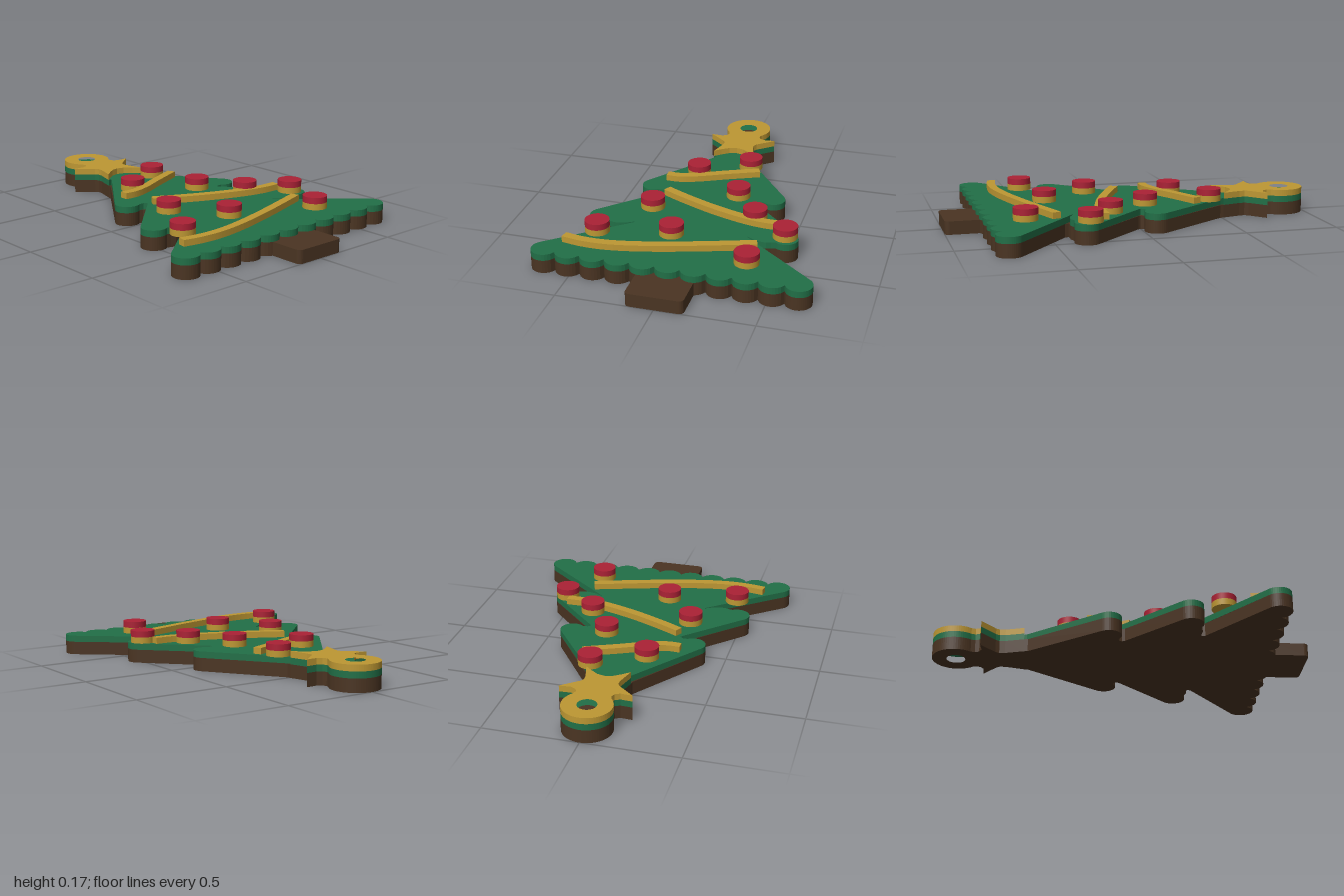
import * as THREE from 'three';

const mat = (name, color) => Object.assign(new THREE.MeshStandardMaterial({ color }), { name });

// Points are [x, z]; a runs from +x towards +z, in degrees
function arc(cx, cz, r, a0, a1, n = 16) {
  return Array.from({ length: n + 1 }, (_, i) => {
    const a = THREE.MathUtils.degToRad(a0 + ((a1 - a0) * i) / n);
    return [cx + r * Math.cos(a), cz + r * Math.sin(a)];
  });
}

// Closed shape from its right half, mirrored to the left
const mirrored = (half) => {
  const left = half.filter(([x]) => x > 0.001).reverse().map(([x, z]) => [-x, z]);
  return toShape([...half, ...left]);
};
const toShape = (pts) => new THREE.Shape(pts.map(([x, z]) => new THREE.Vector2(x, -z)));

function plate(name, shape, y0, y1, material) {
  const geo = new THREE.ExtrudeGeometry(shape, { depth: y1 - y0, bevelEnabled: false, curveSegments: 32 });
  geo.rotateX(-Math.PI / 2).translate(0, y0, 0);
  const mesh = new THREE.Mesh(geo, material);
  mesh.name = name;
  return mesh;
}

// Layer heights
const Y = [0, 0.07, 0.104, 0.137, 0.17];

// Hanging ring and star, right half
const starHalf = [
  ...arc(0, -0.872, 0.128, -90, 40, 24),
  [0.091, -0.768], [0.1, -0.745], [0.125, -0.731], [0.188, -0.735],
  [0.1, -0.66], [0.088, -0.64], [0.09, -0.61], [0.117, -0.51],
];

// Whole silhouette; the base fills the notches and adds the trunk
function treeHalf(isBase) {
  const pts = [
    ...starHalf,
    ...(isBase ? [[0.12, -0.49]] : [[0.097, -0.515], [0.107, -0.495]]),
    ...arc(0.335, -0.07, 0.065, -36, 130),
    ...(isBase ? [[0.275, -0.015], [0.268, 0.0], [0.275, 0.015]]
      : [[0.265, -0.02], [0.25, -0.005], [0.265, 0.012]]),
    ...arc(0.491, 0.335, 0.067, -43, 125),
    [0.43, 0.394], [0.405, 0.403], [0.375, 0.4],
    ...(isBase ? [[0.352, 0.402], [0.358, 0.422]] : [[0.345, 0.392], [0.3, 0.366], [0.305, 0.376]]),
    ...arc(0.648, 0.752, 0.069, -48, 85),
  ];
  // Scalloped hem
  for (let x = 0.637; x > (isBase ? 0.147 : -0.001); x -= 0.0065 * 2) {
    const d = x - Math.round(x / 0.13) * 0.13;
    pts.push([x, 0.752 + Math.sqrt(0.07 ** 2 - d * d)]);
  }
  // Trunk with rounded corners
  if (isBase) pts.push([0.147, 0.821], ...arc(0.122, 0.975, 0.025, 0, 90, 6));
  return pts;
}

// Bent strip of constant width along a smooth path
function ribbon(path, width) {
  const curve = new THREE.CatmullRomCurve3(path.map(([x, z]) => new THREE.Vector3(x, 0, z)));
  const a = [], b = [];
  for (let i = 0; i <= 28; i++) {
    const p = curve.getPoint(i / 28), t = curve.getTangent(i / 28);
    a.push([p.x - (t.z * width) / 2, p.z + (t.x * width) / 2]);
    b.unshift([p.x + (t.z * width) / 2, p.z - (t.x * width) / 2]);
  }
  return toShape([...a, ...b]);
}

export function createModel() {
  const brown = mat('brown', 0x4a3422);
  const green = mat('green', 0x216f47);
  const gold = mat('gold', 0xbd9733);
  const red = mat('red', 0xab2135);
  const model = new THREE.Group();
  model.name = 'treeOrnament';

  // Stacked silhouettes with the hanging hole
  const drill = (shape) => {
    shape.holes.push(new THREE.Path().absarc(0, 0.873, 0.05, 0, Math.PI * 2, true));
    return shape;
  };
  model.add(plate('baseAndTrunk', drill(mirrored(treeHalf(true))), Y[0], Y[1], brown));
  model.add(plate('treeLayer', drill(mirrored(treeHalf(false))), Y[1], Y[2], green));
  const star = mirrored([...starHalf, [0.08, -0.543], [0.04, -0.572], [0, -0.582]]);
  model.add(plate('starWithRing', drill(star), Y[2], Y[3], gold));

  // Garlands
  const garlands = [
    [[-0.287, -0.16], [-0.22, -0.159], [-0.13, -0.185], [0.03, -0.26], [0.195, -0.333]],
    [[-0.235, 0.016], [-0.12, 0.075], [0.06, 0.155], [0.24, 0.215], [0.35, 0.236], [0.46, 0.238]],
    [[-0.583, 0.648], [-0.48, 0.665], [-0.36, 0.666], [-0.2, 0.64], [0.05, 0.572], [0.375, 0.466]],
  ];
  garlands.forEach((path) => model.add(plate('garland', ribbon(path, 0.046), Y[2], Y[3], gold)));

  // Baubles: gold foot, red cap
  const baubles = [
    [0.125, -0.42], [-0.135, -0.272], [0.145, -0.058], [-0.262, 0.18], [0.292, 0.168],
    [0.486, 0.318], [-0.08, 0.44], [-0.455, 0.51], [0.36, 0.622],
  ];
  for (const [x, z] of baubles) {
    const bauble = new THREE.Group();
    bauble.name = 'bauble';
    [['baubleFoot', gold, 2], ['baubleCap', red, 3]].forEach(([name, material, k]) => {
      const h = Y[k + 1] - Y[k];
      const disc = new THREE.Mesh(new THREE.CylinderGeometry(0.064, 0.064, h, 40), material);
      disc.name = name;
      disc.position.set(x, Y[k] + h / 2, z);
      bauble.add(disc);
    });
    model.add(bauble);
  }
  return model;
}
